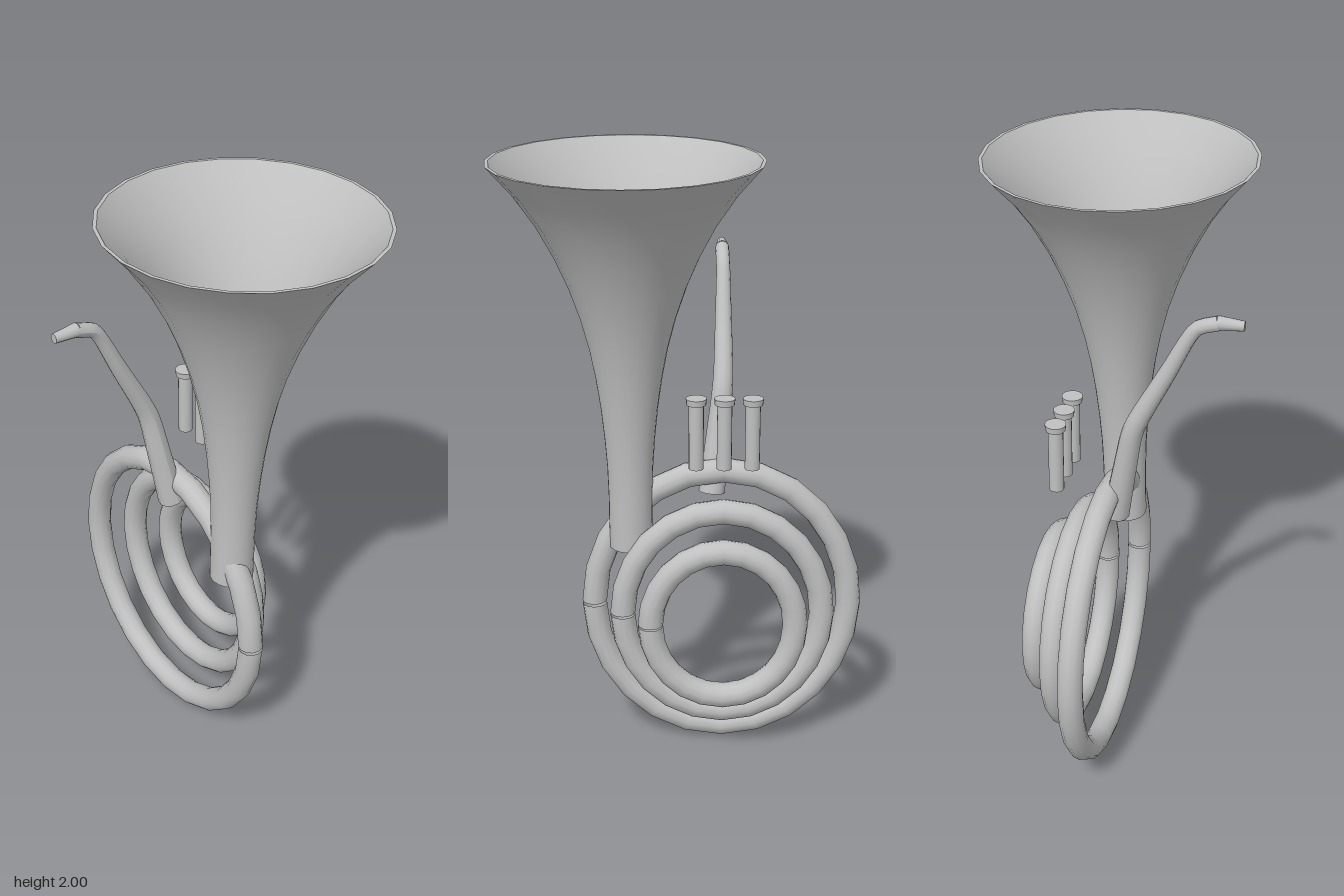
import * as THREE from 'three';

const brass = new THREE.MeshStandardMaterial({ color: 0xc0c0c0, side: THREE.DoubleSide });
brass.name = 'brushed metal';

function addMesh(parent, name, geometry, x = 0, y = 0, z = 0) {
  const mesh = new THREE.Mesh(geometry, brass);
  mesh.name = name;
  mesh.position.set(x, y, z);
  parent.add(mesh);
  return mesh;
}

// Oval loop of tubing with a hairline split on its left side
class OvalCurve extends THREE.Curve {
  constructor(rx, ry) {
    super();
    this.rx = rx;
    this.ry = ry;
  }
  getPoint(t, target = new THREE.Vector3()) {
    const a = 0.009 + t * (Math.PI * 2 - 0.018);
    return target.set(this.rx * Math.cos(a), this.ry * Math.sin(a), 0);
  }
}

// Tube whose radius follows radiusAt(t) along the path
function taperedTube(path, segments, sides, radiusAt) {
  const geometry = new THREE.TubeGeometry(path, segments, 1, sides, false);
  const pos = geometry.attributes.position;
  const v = new THREE.Vector3();
  for (let i = 0; i <= segments; i++) {
    const centre = path.getPointAt(i / segments);
    for (let j = 0; j <= sides; j++) {
      const k = i * (sides + 1) + j;
      v.fromBufferAttribute(pos, k).sub(centre).multiplyScalar(radiusAt(i / segments)).add(centre);
      pos.setXYZ(k, v.x, v.y, v.z);
    }
  }
  geometry.computeVertexNormals();
  return geometry;
}

export function createModel() {
  const model = new THREE.Group();
  model.name = 'horn';

  // Three nested loops, stepping backwards
  const loops = [
    ['outerLoop', 0.425, 0.472, 0.026],
    ['middleLoop', 0.328, 0.363, -0.063],
    ['innerLoop', 0.235, 0.26, -0.151],
  ];
  for (const [name, rx, ry, z] of loops) {
    addMesh(model, name, new THREE.TubeGeometry(new OvalCurve(rx, ry), 24, 0.041, 12, false), -0.129, 0.513, z);
  }

  // Flared bell: thin wall, open at both ends, leaning very slightly back
  const outside = [
    [0.071, 0], [0.071, 0.17], [0.074, 0.28], [0.081, 0.38], [0.091, 0.48], [0.105, 0.58],
    [0.124, 0.68], [0.15, 0.78], [0.184, 0.88], [0.227, 0.98], [0.28, 1.08], [0.345, 1.175], [0.42, 1.262],
  ].map(([r, y]) => new THREE.Vector2(r, y));
  const inside = outside.map((p) => new THREE.Vector2(p.x - 0.002 - 0.009 * (p.y / 1.262), p.y)).reverse();
  const rim = [outside[outside.length - 1], inside[0]];
  const bell = new THREE.Group();
  bell.name = 'bell';
  bell.position.set(0.17, 0.73, 0.007);
  bell.rotation.x = -0.02;
  addMesh(bell, 'bellOutside', new THREE.LatheGeometry(outside, 24));
  addMesh(bell, 'bellInside', new THREE.LatheGeometry(inside, 24));
  addMesh(bell, 'bellRim', new THREE.LatheGeometry(rim, 24));
  model.add(bell);

  // Lead pipe rising from the loops and bending towards the player
  const pipePath = new THREE.CatmullRomCurve3([
    [-0.094, 0.9, 0.047], [-0.112, 1.08, 0.078], [-0.127, 1.23, 0.106], [-0.13, 1.28, 0.125],
    [-0.131, 1.45, 0.21], [-0.131, 1.595, 0.281], [-0.13, 1.618, 0.3], [-0.129, 1.64, 0.36],
  ].map((p) => new THREE.Vector3(...p)));
  addMesh(model, 'leadPipe', taperedTube(pipePath, 40, 12, (t) => 0.043 - 0.0205 * Math.min(1, t * 1.15)));
  const pipeEnd = addMesh(model, 'leadPipeEnd', new THREE.CircleGeometry(0.043, 12), -0.094, 0.9, 0.047);
  pipeEnd.lookAt(new THREE.Vector3(-0.076, 0.72, 0.016));

  // Mouthpiece
  const mouthpiece = addMesh(model, 'mouthpiece', new THREE.CylinderGeometry(0.015, 0.022, 0.08, 12), -0.129, 1.641, 0.396);
  mouthpiece.rotation.x = Math.PI / 2;

  // Row of three valves with button caps
  for (const x of [-0.217, -0.129, -0.041]) {
    const valve = new THREE.Group();
    valve.name = 'valve';
    valve.position.set(x, 0, -0.111);
    addMesh(valve, 'valveCase', new THREE.CylinderGeometry(0.0235, 0.0235, 0.215, 16), 0, 1.1515, 0);
    addMesh(valve, 'valveButton', new THREE.CylinderGeometry(0.033, 0.031, 0.02, 16), 0, 1.267, 0);
    model.add(valve);
  }

  return model;
}
